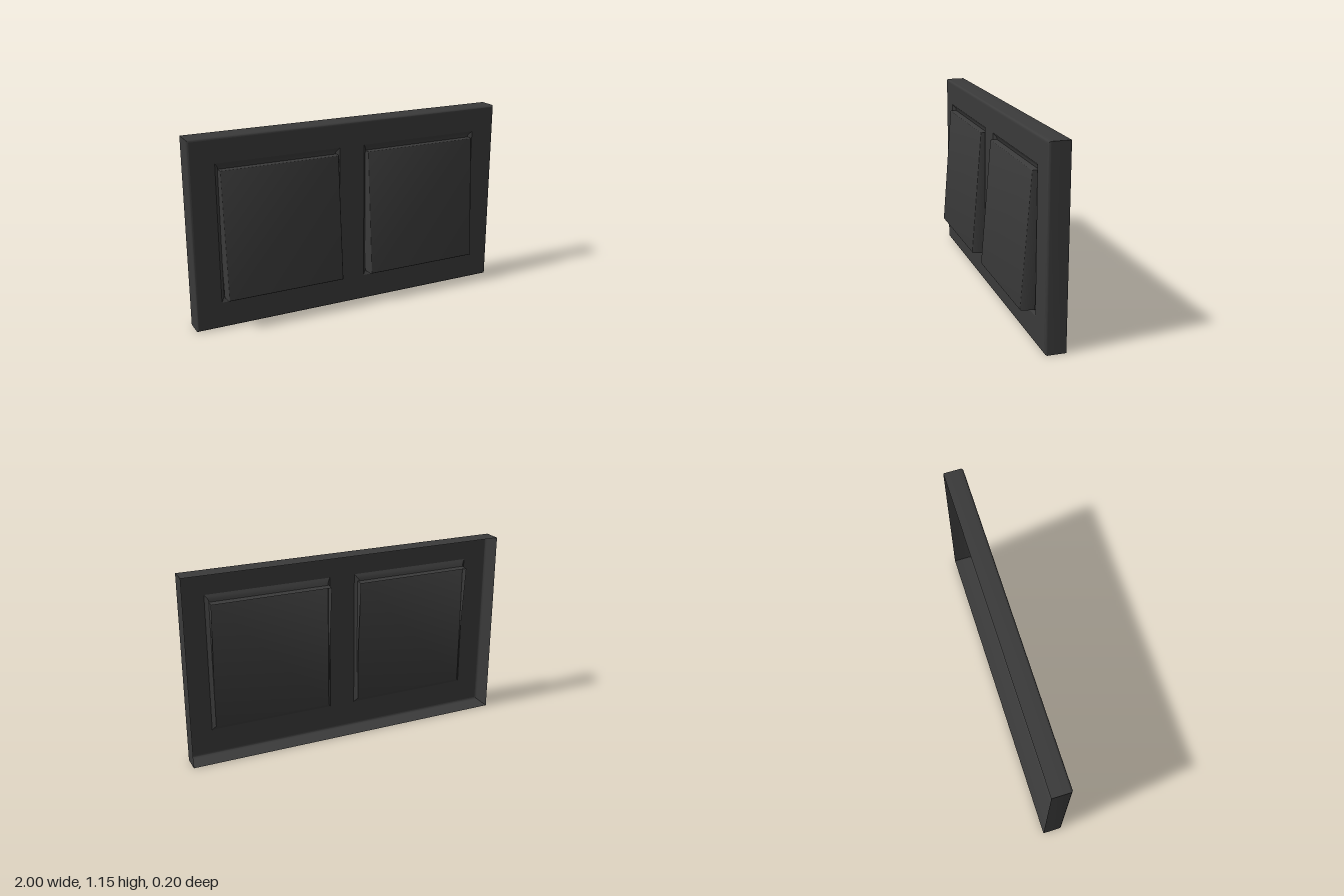
import * as THREE from 'three';
import { toCreasedNormals } from 'three/addons/utils/BufferGeometryUtils.js';

const material = new THREE.MeshStandardMaterial({ color: 0x3a3a3a, side: THREE.DoubleSide });
const CENTRE_Y = 0.575;

// Skin through rectangular rings [halfWidth, halfHeight, z], optionally closed at the last ring
function loft(rings, cap) {
  const corners = [[-1, -1], [1, -1], [1, 1], [-1, 1]];
  const positions = [];
  const index = [];
  for (const [w, h, z] of rings) {
    for (const [sx, sy] of corners) positions.push(sx * w, sy * h, z);
  }
  for (let r = 0; r < rings.length - 1; r++) {
    for (let i = 0; i < 4; i++) {
      const a = r * 4 + i, b = r * 4 + (i + 1) % 4;
      index.push(a, b, b + 4, a, b + 4, a + 4);
    }
  }
  if (cap) {
    const k = (rings.length - 1) * 4;
    index.push(k, k + 1, k + 2, k, k + 2, k + 3);
  }
  const geometry = new THREE.BufferGeometry();
  geometry.setAttribute('position', new THREE.Float32BufferAttribute(positions, 3));
  geometry.setIndex(index);
  return toCreasedNormals(geometry, 0.7);
}

// Rings from a back edge to a front face with a rounded rim
function roundedRings(w, h, back, front, radius) {
  const rings = [[w, h, back]];
  for (let i = 0; i <= 4; i++) {
    const t = (i / 4) * Math.PI / 2;
    const inset = radius * (1 - Math.cos(t));
    rings.push([w - inset, h - inset, front - radius + radius * Math.sin(t)]);
  }
  return rings;
}

function rectangle(path, x, y, w, h) {
  path.moveTo(x - w, y - h);
  path.lineTo(x + w, y - h);
  path.lineTo(x + w, y + h);
  path.lineTo(x - w, y + h);
  path.closePath();
  return path;
}

function part(name, geometry, x, y, z) {
  const mesh = new THREE.Mesh(geometry, material);
  mesh.name = name;
  mesh.position.set(x, y, z);
  return mesh;
}

export function createModel() {
  const group = new THREE.Group();
  group.name = 'doubleRockerSwitch';

  // Outer frame: thin shell, open at the back
  group.add(part('frameRim', loft(roundedRings(1, 0.575, -0.1, 0.02, 0.014), false), 0, CENTRE_Y, 0));

  // Front plate with two openings
  const plate = rectangle(new THREE.Shape(), 0, CENTRE_Y, 0.986, 0.561);
  for (const side of [-1, 1]) {
    plate.holes.push(rectangle(new THREE.Path(), side * 0.4625, 0.58, 0.3825, 0.42));
  }
  group.add(part('frontPlate', new THREE.ShapeGeometry(plate), 0, 0, 0.02));

  const recess = loft([[0.3825, 0.42, 0.02], [0.375, 0.411, 0.014], [0.362, 0.392, 0]], true);
  const rocker = loft(roundedRings(0.365, 0.386, -0.086, 0, 0.01), true);

  for (const side of [-1, 1]) {
    const label = side > 0 ? 'left' : 'right';
    // Sloping recess with a flat floor
    group.add(part(label + 'Recess', recess, side * 0.4625, 0.58, 0));
    // Tilted rocker: hollow shell whose upper skirt passes behind the floor
    const key = part(label + 'Rocker', rocker, side * 0.46, 0.579, 0.0715);
    key.rotation.x = -0.078;
    group.add(key);
  }
  return group;
}
